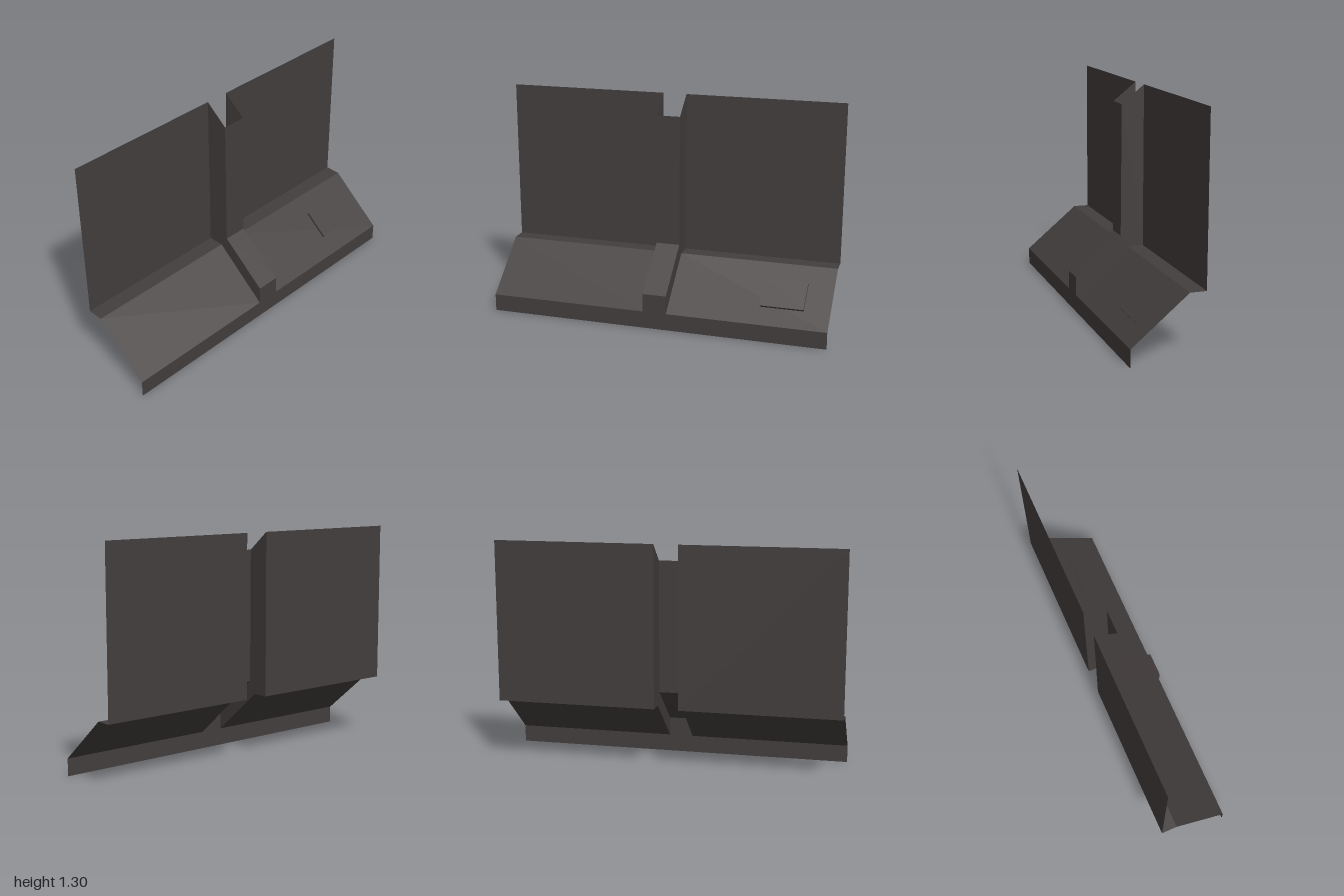
import * as THREE from 'three';

const HALF = 1, RIB = 0.07, EDGE = 0.205;

// Folded open sheet: an [x, y] profile swept flat from z0 to z1
function foldedSheet(profile, z0, z1) {
  const pos = [];
  for (let i = 0; i < profile.length - 1; i++) {
    const [px, py] = profile[i], [qx, qy] = profile[i + 1];
    pos.push(px, py, z1, qx, qy, z1, qx, qy, z0);
    pos.push(px, py, z1, qx, qy, z0, px, py, z0);
  }
  const g = new THREE.BufferGeometry();
  g.setAttribute('position', new THREE.Float32BufferAttribute(pos, 3));
  g.computeVertexNormals();
  return g;
}

export function createModel() {
  const group = new THREE.Group();
  const charcoal = new THREE.MeshStandardMaterial({ color: 0x433e3d, side: THREE.DoubleSide });
  charcoal.name = 'charcoal';

  const add = (name, geometry) => {
    const mesh = new THREE.Mesh(geometry, charcoal);
    mesh.name = name;
    group.add(mesh);
    return mesh;
  };

  // Upright panel, ledge, slope and lip on each side of the rib
  const panel = [[-EDGE, 1.305], [-EDGE, 0.365], [-0.113, 0.365], [EDGE, 0.1], [EDGE, 0]];
  add('frontPanel', foldedSheet(panel, RIB, HALF));
  add('rearPanel', foldedSheet(panel, -HALF, -RIB));

  // Raised central rib, open at the back and top
  const rib = [[-0.072, 1.198], [-0.068, 0.432], [EDGE, 0.208], [EDGE, 0]];
  add('centreRib', foldedSheet(rib, -RIB, RIB));

  // Rib side walls, joining the rib to the panels
  const wall = [...rib.slice(0, 3), [EDGE, 0.1], [-0.113, 0.365], [-EDGE, 0.365], [-EDGE, 1.305]];
  for (const side of [1, -1]) {
    const shape = new THREE.Shape(wall.map(([x, y]) => new THREE.Vector2(x * side, y)));
    const g = new THREE.ShapeGeometry(shape);
    if (side < 0) g.rotateY(Math.PI);
    g.translate(0, 0, side * RIB);
    add(side > 0 ? 'frontRibWall' : 'rearRibWall', g);
  }

  // Thin raised pad lying on the slope
  const tilt = Math.atan2(0.265, 0.318);
  const pad = add('slopePad', new THREE.BoxGeometry(0.178, 0.014, 0.25));
  pad.rotation.z = -tilt;
  const x = 0.047, y = 0.365 - (x + 0.113) * Math.tan(tilt);
  pad.position.set(x + Math.sin(tilt) * 0.007, y + Math.cos(tilt) * 0.007, -0.725);

  return group;
}
